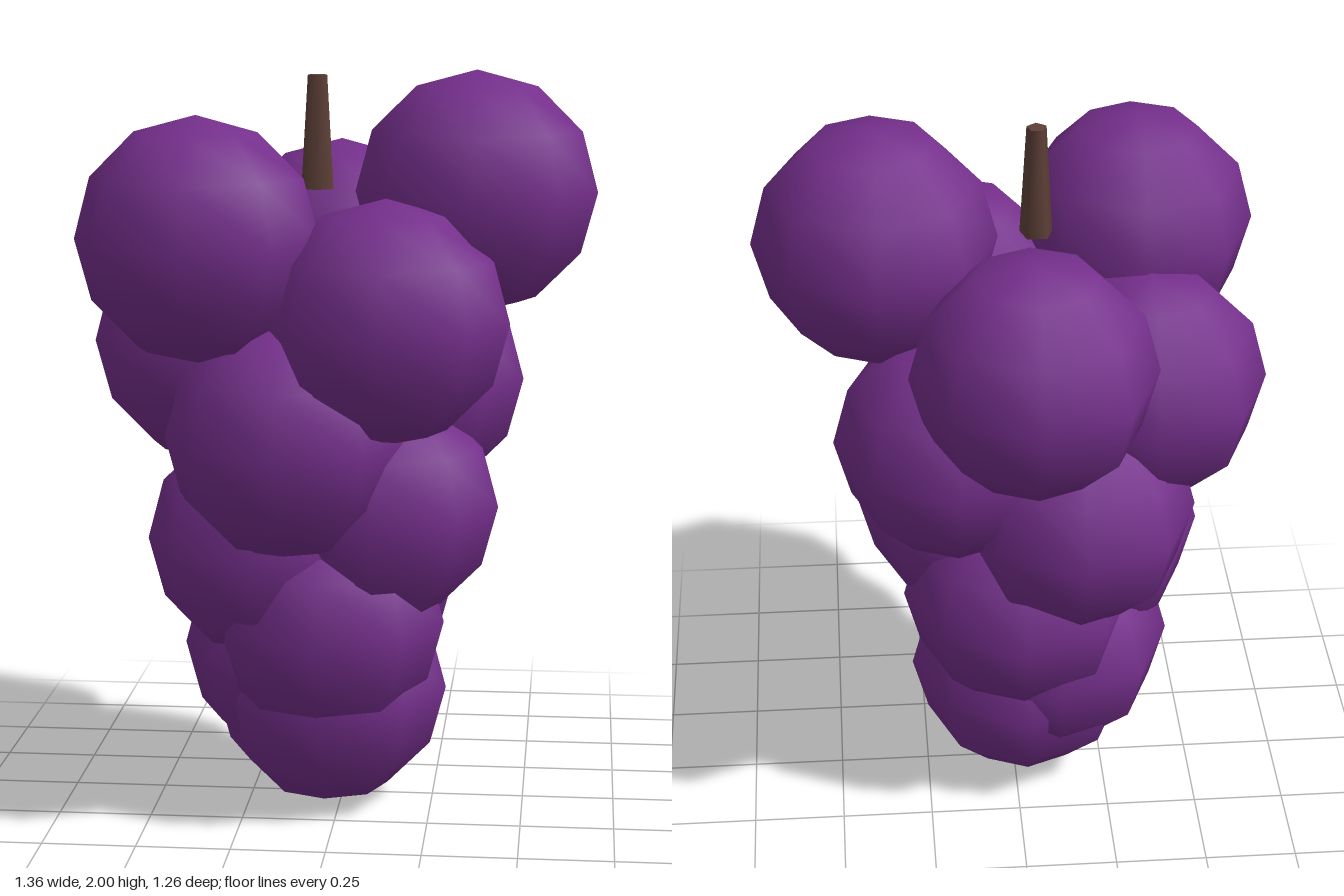
import * as THREE from 'three';

export function createModel() {
  const model = new THREE.Group();
  model.name = 'grapeBunch';

  const grapeSkin = new THREE.MeshStandardMaterial({ color: 0x752f8c });
  grapeSkin.name = 'grape purple';
  const wood = new THREE.MeshStandardMaterial({ color: 0x5d4037 });
  wood.name = 'stem brown';

  // Axis of the bunch and size of each grape
  const cx = -0.062, cz = 0.045, radius = 0.32, count = 14;
  const goldenAngle = THREE.MathUtils.degToRad(137.5);

  // Grapes spiral down around the axis, closing in towards the tip
  const grapeGeometry = new THREE.SphereGeometry(radius, 8, 6);
  for (let i = 0; i < count; i++) {
    const reach = 0.42 - 0.03 * i;
    const angle = i * goldenAngle;
    const grape = new THREE.Mesh(grapeGeometry, grapeSkin);
    grape.name = `grape${i + 1}`;
    grape.position.set(
      cx + reach * Math.cos(angle),
      THREE.MathUtils.lerp(2 - radius, radius, i / (count - 1)),
      cz + reach * Math.sin(angle)
    );
    model.add(grape);
  }

  // Tapered five-sided stem
  const stem = new THREE.Mesh(new THREE.CylinderGeometry(0.027, 0.045, 0.3, 5), wood);
  stem.name = 'stem';
  stem.position.set(cx, 1.835, cz);
  model.add(stem);

  return model;
}
